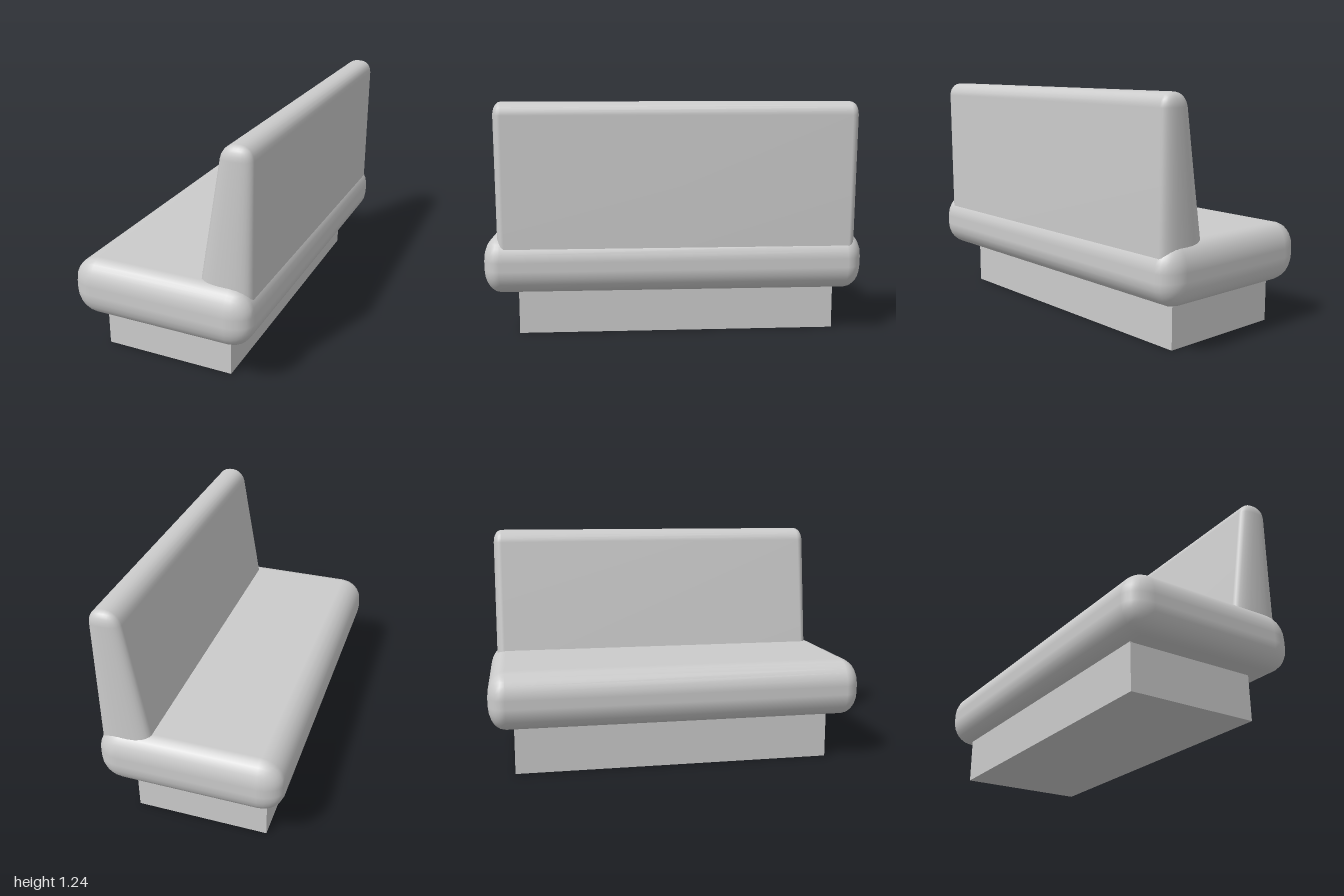
import * as THREE from 'three';
import { RoundedBoxGeometry } from 'three/addons/geometries/RoundedBoxGeometry.js';
import { mergeVertices } from 'three/addons/utils/BufferGeometryUtils.js';

const material = new THREE.MeshStandardMaterial({ color: 0xcccccc });

// Rounded block spanning [min, max] with its own rounding radius along each axis.
function cushion(min, max, radii) {
  const size = max.map((v, i) => v - min[i]);
  const [w, h, d] = size.map((s, i) => s / radii[i]);
  const geometry = new RoundedBoxGeometry(w, h, d, 3, 1);
  geometry.scale(...radii);
  geometry.translate(...min.map((v, i) => (v + max[i]) / 2));
  return geometry;
}

function addPart(group, name, geometry) {
  const mesh = new THREE.Mesh(geometry, material);
  mesh.name = name;
  group.add(mesh);
}

export function createModel() {
  const group = new THREE.Group();
  group.name = 'benchSeat';

  // Plinth
  const plinth = new THREE.BoxGeometry(0.71, 0.26, 1.7);
  plinth.translate(-0.03, 0.13, -0.02);
  addPart(group, 'plinth', plinth);

  // Seat cushion
  addPart(group, 'seat', cushion([-0.49, 0.24, -1], [0.487, 0.546, 1], [0.125, 0.13, 0.09]));

  // Backrest: upright rear face, front face leaning out towards the seat
  const rearX = 0.468, topWidth = 0.163;
  let back = cushion([rearX - topWidth, 0.36, -0.96], [rearX, 1.237, 0.93], [0.07, 0.07, 0.045]);
  const p = back.attributes.position;
  for (let i = 0; i < p.count; i++) {
    const width = topWidth + (1.17 - p.getY(i)) * 0.168;
    p.setX(i, rearX - (rearX - p.getX(i)) * width / topWidth);
  }
  back.deleteAttribute('uv');
  back.deleteAttribute('normal');
  back = mergeVertices(back, 1e-4);
  back.computeVertexNormals();
  addPart(group, 'backrest', back);

  return group;
}
